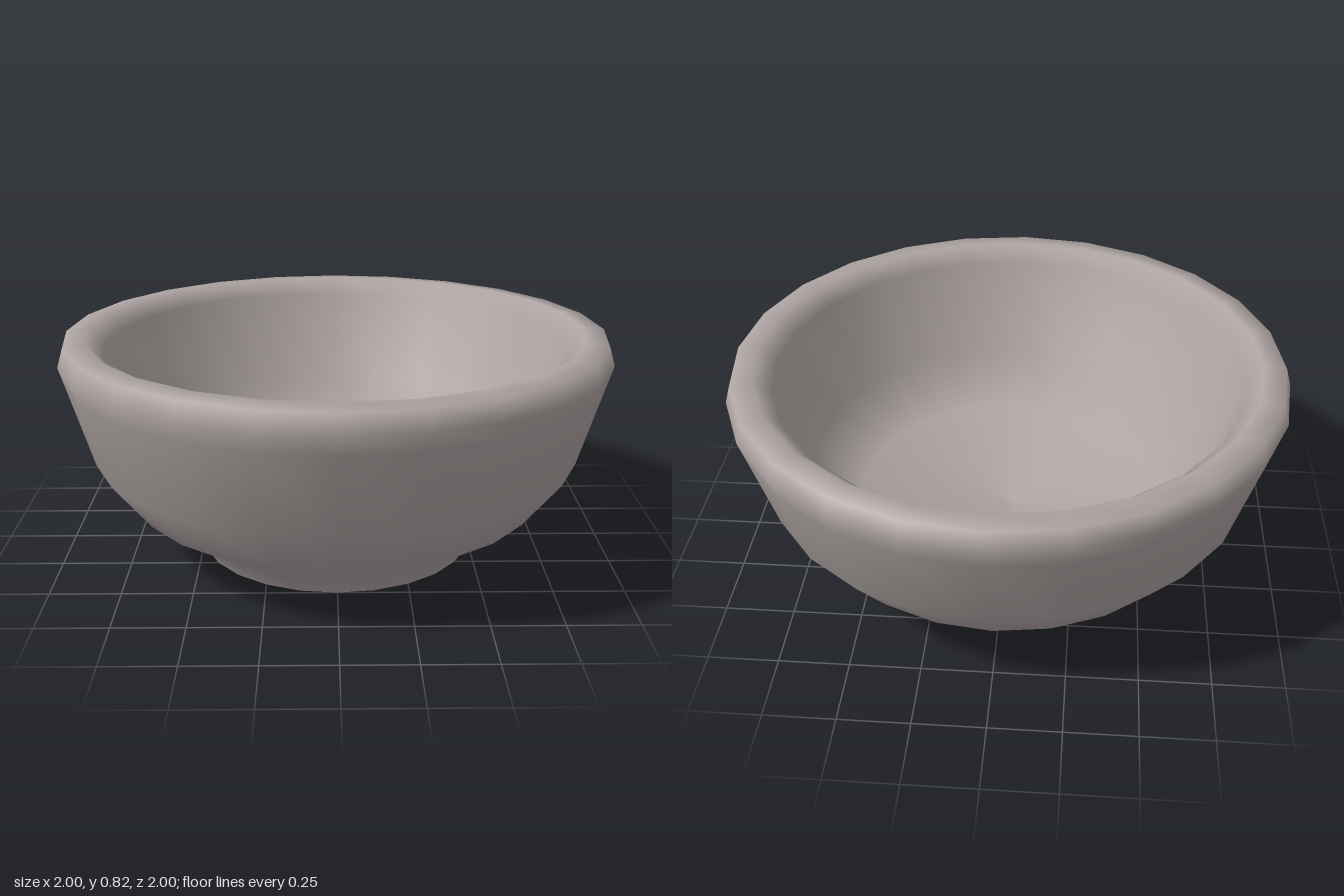
import * as THREE from 'three';

const SIDES = 24;

// Revolve a list of [radius, height] pairs around the y axis
function revolve(profile, material, name) {
  const points = profile.map(([r, y]) => new THREE.Vector2(r, y));
  const mesh = new THREE.Mesh(new THREE.LatheGeometry(points, SIDES), material);
  mesh.name = name;
  return mesh;
}

export function createModel() {
  const group = new THREE.Group();
  group.name = 'bowl';
  const clay = new THREE.MeshStandardMaterial({ color: 0xaea5a3 });
  clay.name = 'warm grey clay';

  // Foot, outer wall, rounded rim, then the hollow down to the centre
  group.add(revolve([
    [0.5, 0], [0.545, 0.078], [0.75, 0.197], [0.888, 0.372], [0.98, 0.68], [1, 0.745],
    [0.98, 0.812], [0.9, 0.82], [0.84, 0.765],
    [0.73, 0.41], [0.56, 0.24], [0, 0.16],
  ], clay, 'bowlWall'));

  // Flat underside with a sharp edge
  const base = new THREE.Mesh(new THREE.CircleGeometry(0.5, SIDES), clay);
  base.rotation.x = Math.PI / 2;
  base.name = 'underside';
  group.add(base);

  return group;
}
